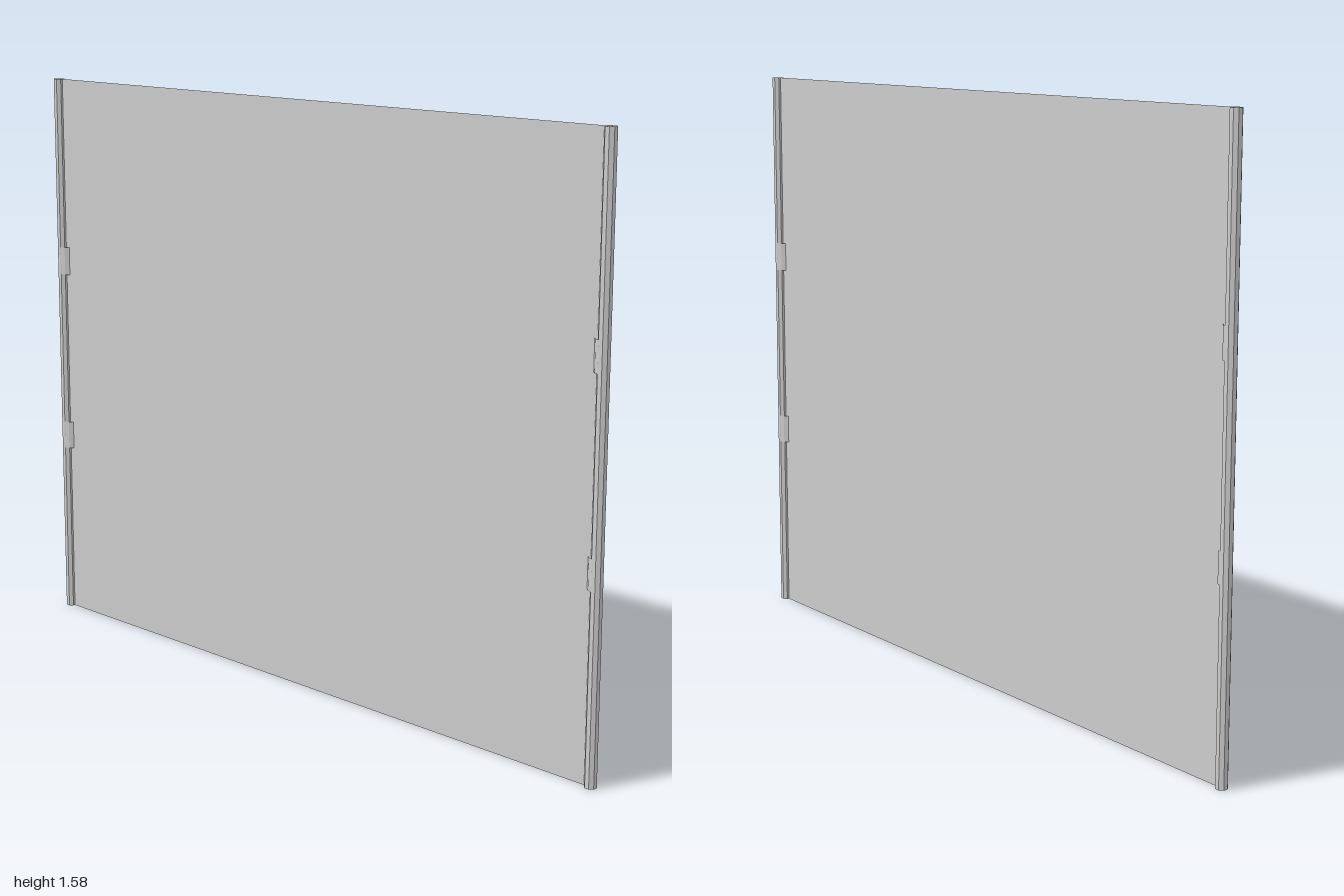
import * as THREE from 'three';

const HEIGHT = 1.575, POST_R = 0.0158, POST_X = 0.985;

export function createModel() {
  const group = new THREE.Group();
  const material = new THREE.MeshStandardMaterial({ color: 0xcccccc, side: THREE.DoubleSide, flatShading: true });

  const add = (name, geometry, x, y) => {
    const mesh = new THREE.Mesh(geometry, material);
    mesh.name = name;
    mesh.position.set(x, y, 0);
    group.add(mesh);
  };

  // Thin sheet stretched between the posts
  add('panel', new THREE.PlaneGeometry(2 * (POST_X - 0.014), HEIGHT), 0, HEIGHT / 2);

  // Open wedge strip that grips the post and tapers to the sheet
  const clipGeometry = (side) => {
    const outline = [[0.982, 0.0155], [0.967, 0.0095], [0.957, 0], [0.967, -0.0095], [0.982, -0.0155]];
    const geometry = new THREE.PlaneGeometry(1, 0.08, outline.length - 1, 1);
    const pos = geometry.attributes.position;
    for (let i = 0; i < pos.count; i++) {
      const [x, z] = outline[i % outline.length];
      pos.setX(i, side * (x - POST_X));
      pos.setZ(i, z);
    }
    geometry.computeVertexNormals();
    return geometry;
  };

  for (const side of [-1, 1]) {
    const label = side > 0 ? 'left' : 'right';
    // Hollow eight-sided post, open at both ends
    const post = new THREE.CylinderGeometry(POST_R, POST_R, HEIGHT, 8, 1, true);
    post.rotateY(Math.PI / 8);
    add(label + 'Post', post, side * POST_X, HEIGHT / 2);
    // Two clips per post
    add(label + 'LowerClip', clipGeometry(side), side * POST_X, 0.53);
    add(label + 'UpperClip', clipGeometry(side), side * POST_X, 1.05);
  }
  return group;
}
